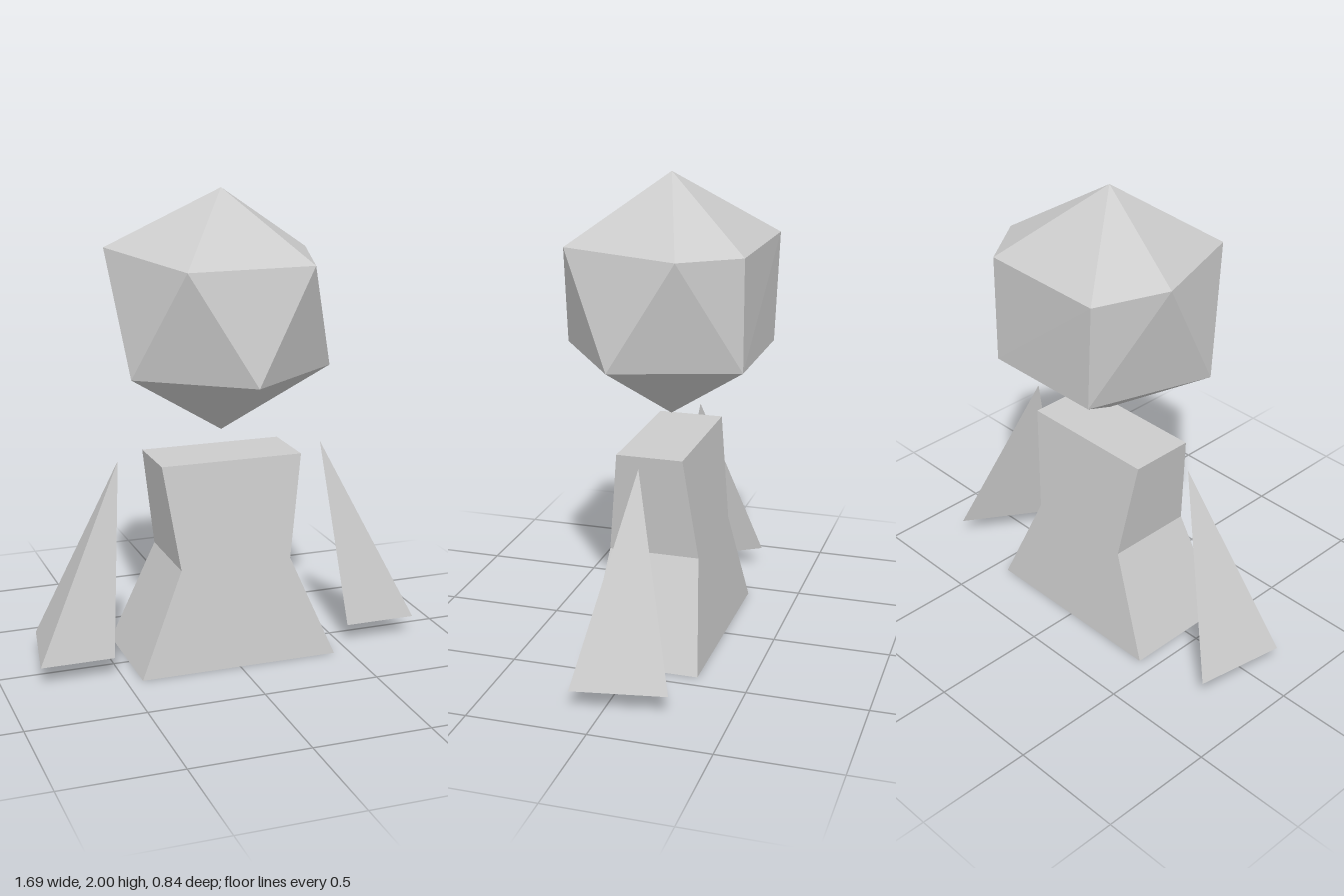
import * as THREE from 'three';

const stone = new THREE.MeshStandardMaterial({ color: 0xcccccc, flatShading: true });
stone.name = 'plain grey';

// Faceted mesh from a list of triangles, each made of three corner points
function facetedMesh(name, triangles) {
  const geometry = new THREE.BufferGeometry();
  geometry.setAttribute('position', new THREE.Float32BufferAttribute(triangles.flat(2), 3));
  geometry.computeVertexNormals();
  const mesh = new THREE.Mesh(geometry, stone);
  mesh.name = name;
  return mesh;
}

// Rings run anticlockwise seen from above
const fanUp = (tip, ring) => ring.map((p, i) => [tip, p, ring[(i + 1) % ring.length]]);
const fanDown = (tip, ring) => ring.map((p, i) => [tip, ring[(i + 1) % ring.length], p]);

// Joins two rings; each step advances along the upper (u) or lower (l) ring
function band(upper, lower, steps) {
  let u = 0, l = 0;
  return [...steps].map((step) => {
    const a = upper[u % upper.length], b = lower[l % lower.length];
    const c = step === 'u' ? upper[++u % upper.length] : lower[++l % lower.length];
    return [a, b, c];
  });
}

// Faceted head: twelve-cornered ball with a flattened back
function makeHead() {
  const upper = [
    [-0.267, 1.72, 0.333], [0.267, 1.72, 0.333], [0.432, 1.72, -0.178],
    [0.267, 1.72, -0.41], [-0.3, 1.72, -0.422], [-0.465, 1.76, -0.165],
  ];
  const lower = [
    [0, 1.26, 0.418], [0.432, 1.26, 0.104], [0.267, 1.26, -0.41],
    [-0.267, 1.26, -0.41], [-0.432, 1.26, 0.104],
  ];
  return facetedMesh('head', [
    ...fanUp([0, 2, -0.037], upper),
    ...band(upper, lower, 'ululuululul'),
    ...fanDown([0, 0.984, -0.037], lower),
  ]);
}

// Torso: tapering block with a pinched waist
function makeTorso() {
  const zMid = -0.035;
  const section = (y, w, d) =>
    [[-w, d], [w, d], [w, -d], [-w, -d]].map(([x, z]) => [x, y, zMid + z]);
  const hem = section(0, 0.432, 0.244);
  const waist = section(0.443, 0.243, 0.192);
  const shoulders = section(0.885, 0.308, 0.14);
  return facetedMesh('torso', [
    ...fanUp([0, 0.885, zMid], shoulders),
    ...band(shoulders, waist, 'lulululu'),
    ...band(waist, hem, 'lulululu'),
    ...fanDown([0, 0, zMid], hem),
  ]);
}

// Arm: slim three-sided spike, mirrored by side
function makeArm(name, side) {
  const at = (x, y, z) => [side * x, y, z];
  const base = [at(0.53, 0.084, 0.13), at(0.845, 0.084, 0.13), at(0.777, 0.084, -0.258)];
  if (side < 0) base.reverse();
  return facetedMesh(name, [
    ...fanUp(at(0.455, 0.888, -0.037), base),
    [...base].reverse(),
  ]);
}

export function createModel() {
  const model = new THREE.Group();
  model.name = 'faceted figure';
  model.add(makeHead(), makeTorso(), makeArm('leftArm', 1), makeArm('rightArm', -1));
  return model;
}
